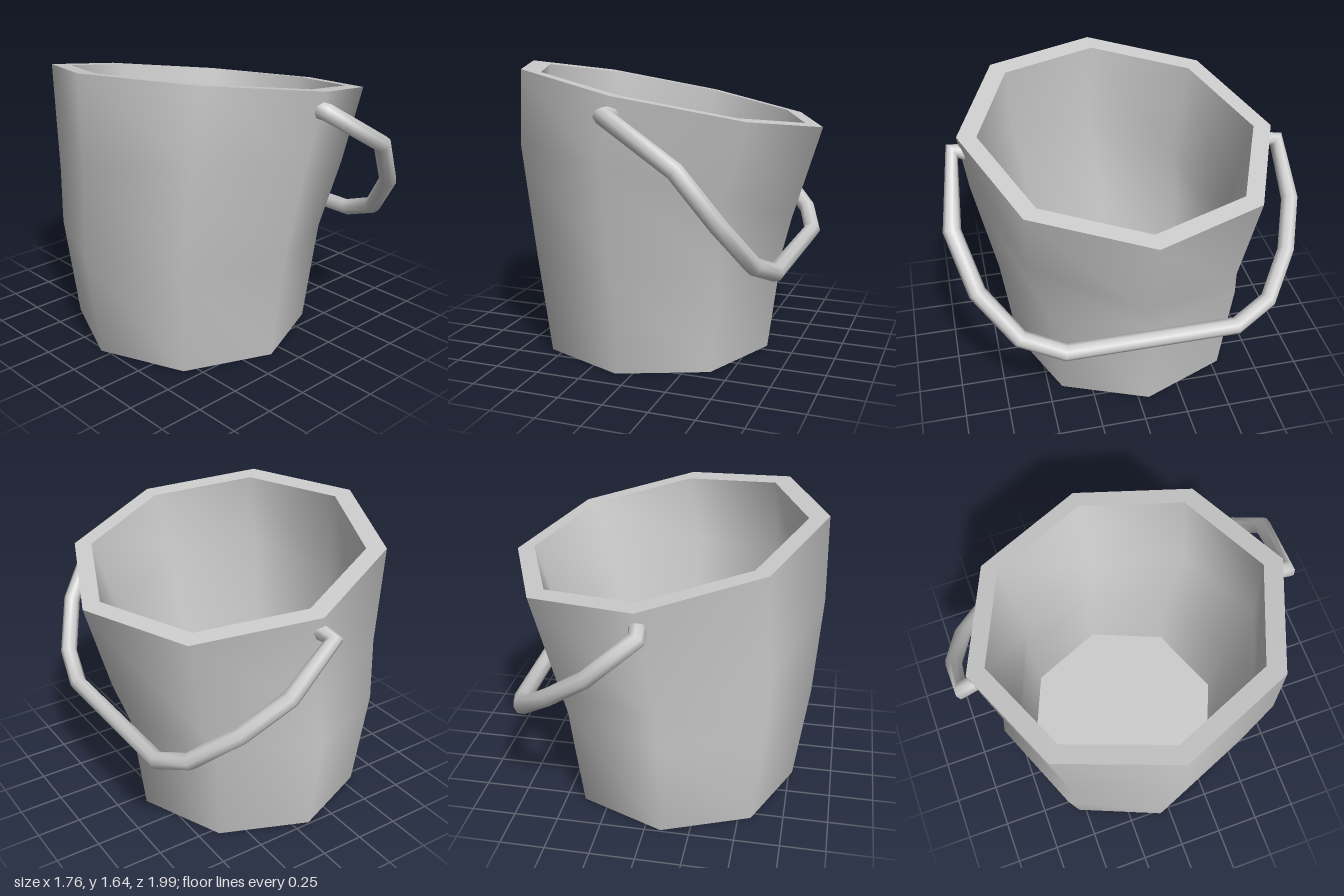
import * as THREE from 'three';
import { toCreasedNormals } from 'three/addons/utils/BufferGeometryUtils.js';

const SIDES = 8;

// Loft through tilted octagonal rings: [centre x, centre y, centre z, radius, slope in x, slope in z]
function loftRings(rings) {
  const pos = [], index = [];
  for (const [cx, cy, cz, r, sx = 0, sz = 0] of rings) {
    for (let k = 0; k < SIDES; k++) {
      const a = (k / SIDES) * Math.PI * 2;
      const dx = r * Math.cos(a), dz = r * Math.sin(a);
      pos.push(cx + dx, cy + sx * dx + sz * dz, cz + dz);
    }
  }
  for (let i = 0; i < rings.length - 1; i++) {
    for (let k = 0; k < SIDES; k++) {
      const n = (k + 1) % SIDES;
      const a = i * SIDES + k, b = i * SIDES + n, c = a + SIDES, d = b + SIDES;
      if (rings[i + 1][3] > 0) index.push(a, c, d);
      if (rings[i][3] > 0) index.push(a, d, b);
    }
  }
  const g = new THREE.BufferGeometry();
  g.setAttribute('position', new THREE.Float32BufferAttribute(pos, 3));
  g.setIndex(index);
  return toCreasedNormals(g, Math.PI / 3);
}

// Polyline whose corners fall exactly on the tube's segments
class CornerPath extends THREE.Curve {
  constructor(points) {
    super();
    this.points = points;
  }
  getPoint(t, target = new THREE.Vector3()) {
    const n = this.points.length - 1;
    const i = Math.min(Math.floor(t * n + 1e-6), n - 1);
    return target.lerpVectors(this.points[i], this.points[i + 1], t * n - i);
  }
  getPointAt(t, target) {
    return this.getPoint(t, target);
  }
  getTangent(t, target = new THREE.Vector3()) {
    const p = this.points, n = p.length - 1, i = Math.round(t * n);
    target.set(0, 0, 0);
    if (i > 0) target.add(p[i].clone().sub(p[i - 1]).normalize());
    if (i < n) target.add(p[i + 1].clone().sub(p[i]).normalize());
    return target.normalize();
  }
  getTangentAt(t, target) {
    return this.getTangent(t, target);
  }
}

export function createModel() {
  const group = new THREE.Group();
  group.name = 'bucket';
  const material = new THREE.MeshStandardMaterial({ color: 0xcccccc });

  // Leaning bucket: underside, outer wall, slanted rim, inner wall, floor
  const body = new THREE.Mesh(loftRings([
    [-0.09, 0, -0.06, 0],
    [-0.09, 0, -0.06, 0.68],
    [-0.09, 0.59, -0.06, 0.755],
    [-0.075, 0.97, 0.01, 0.805, -0.2, 0.26],
    [0.005, 1.475, -0.015, 0.875, -0.178, 0.086],
    [0.01, 1.475, -0.015, 0.77, -0.178, 0.086],
    [-0.075, 0.97, 0.01, 0.705, -0.2, 0.26],
    [-0.09, 0.59, -0.06, 0.655],
    [-0.09, 0.08, -0.07, 0.6],
    [-0.09, 0.08, -0.07, 0],
  ]), material);
  body.name = 'bucketBody';
  group.add(body);

  // Bent handle swung down to the left side
  const path = new CornerPath([
    [0.0, 1.45, 0.81], [-0.02, 1.455, 0.89], [0.37, 1.22, 0.945],
    [0.56, 0.95, 0.86], [0.69, 0.71, 0.67], [0.745, 0.615, 0.44],
    [0.745, 0.615, -0.5], [0.67, 0.70, -0.7], [0.47, 0.87, -0.86],
    [0.24, 1.05, -0.95], [-0.02, 1.29, -0.94], [0.0, 1.31, -0.82],
  ].map((p) => new THREE.Vector3(...p)));
  const handle = new THREE.Mesh(
    new THREE.TubeGeometry(path, path.points.length - 1, 0.048, 8, false), material);
  handle.name = 'handle';
  group.add(handle);

  return group;
}
